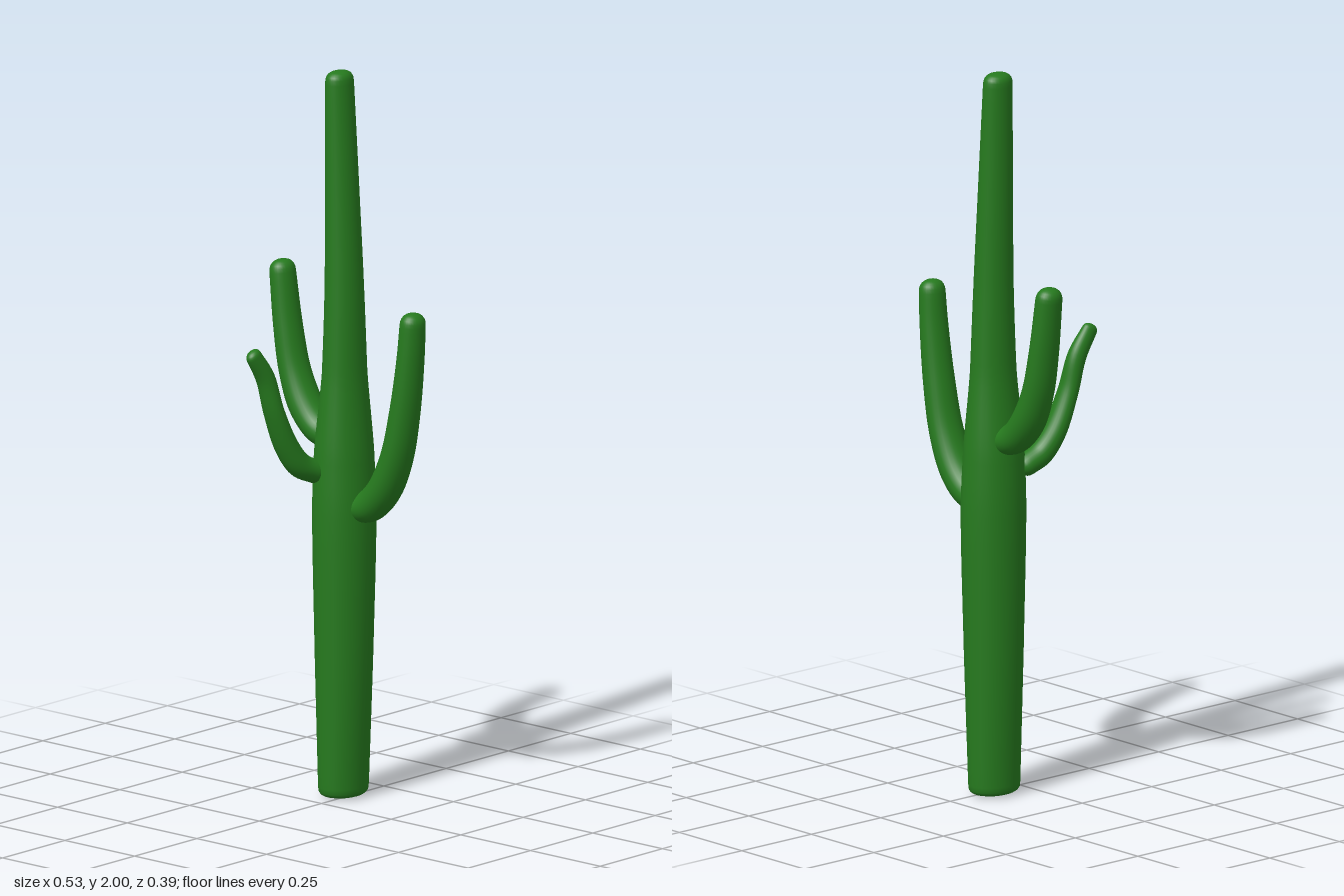
import * as THREE from 'three';

const SIDES = 28;
const material = new THREE.MeshStandardMaterial({ color: 0x267a1e });

// Sweeps an oval along a smooth path with rounded ends.
// Each station: [x, y, z, radius in the bending plane, radius along the side axis]
function limb(name, stations, sideAxis, steps, startCap, endCap) {
  const path = new THREE.CatmullRomCurve3(stations.map(s => new THREE.Vector3(s[0], s[1], s[2])));
  const radii = new THREE.CatmullRomCurve3(stations.map(s => new THREE.Vector3(s[3], s[4], 0)));
  const positions = [], index = [];
  let rings = 0;

  const addRing = (t, offset, scale) => {
    const tangent = path.getTangent(t);
    const side = sideAxis.clone().addScaledVector(tangent, -sideAxis.dot(tangent)).normalize();
    const normal = new THREE.Vector3().crossVectors(side, tangent);
    const centre = path.getPoint(t).addScaledVector(tangent, offset);
    const r = radii.getPoint(t);
    for (let i = 0; i < SIDES; i++) {
      const a = (i / SIDES) * Math.PI * 2;
      const p = centre.clone()
        .addScaledVector(normal, Math.cos(a) * r.x * scale)
        .addScaledVector(side, Math.sin(a) * r.y * scale);
      positions.push(p.x, p.y, p.z);
    }
    rings++;
  };
  const CAP = 6;
  const addCap = (t, cap, sign) => {
    for (let k = 1; k <= CAP; k++) {
      const j = sign < 0 ? CAP + 1 - k : k;
      const a = (j / CAP) * Math.PI / 2;
      addRing(t, sign * cap.length * Math.sin(a) ** cap.power,
        Math.max(Math.cos(a), 1e-4) ** cap.power);
    }
  };

  addCap(0, startCap, -1);
  for (let i = 0; i <= steps; i++) addRing(i / steps, 0, 1);
  addCap(1, endCap, 1);

  for (let r = 0; r < rings - 1; r++) {
    for (let i = 0; i < SIDES; i++) {
      const a = r * SIDES + i, b = r * SIDES + (i + 1) % SIDES;
      index.push(a, b, a + SIDES, b, b + SIDES, a + SIDES);
    }
  }
  const geometry = new THREE.BufferGeometry();
  geometry.setAttribute('position', new THREE.Float32BufferAttribute(positions, 3));
  geometry.setIndex(index);
  geometry.computeVertexNormals();
  const mesh = new THREE.Mesh(geometry, material);
  mesh.name = name;
  return mesh;
}

export function createModel() {
  const group = new THREE.Group();
  group.name = 'cactus';
  const xAxis = new THREE.Vector3(1, 0, 0);
  const zAxis = new THREE.Vector3(0, 0, 1);
  const Z = -0.106;

  // Tall trunk, widest below the arms, leaning slightly towards its top
  group.add(limb('trunk', [
    [-0.016, 0.03, Z, 0.060, 0.077],
    [-0.014, 0.40, Z, 0.074, 0.085],
    [-0.013, 0.78, Z, 0.081, 0.093],
    [-0.014, 0.95, Z, 0.075, 0.088],
    [-0.012, 1.17, Z, 0.055, 0.068],
    [-0.013, 1.40, Z, 0.049, 0.058],
    [-0.020, 1.65, Z, 0.043, 0.051],
    [-0.030, 1.965, Z, 0.034, 0.044],
  ], zAxis, 56, { length: 0.03, power: 0.6 }, { length: 0.035, power: 0.7 }));

  // Left arm
  group.add(limb('leftArm', [
    [0.030, 0.805, Z, 0.040, 0.048],
    [0.080, 0.818, Z, 0.045, 0.050],
    [0.130, 0.868, Z, 0.045, 0.052],
    [0.175, 0.965, Z, 0.042, 0.050],
    [0.205, 1.100, Z, 0.039, 0.046],
    [0.225, 1.250, Z, 0.035, 0.041],
    [0.232, 1.340, Z, 0.033, 0.038],
  ], zAxis, 36, { length: 0.03, power: 1 }, { length: 0.035, power: 0.85 }));

  // Right arm, set higher
  group.add(limb('rightArm', [
    [-0.040, 0.985, Z, 0.040, 0.046],
    [-0.100, 1.002, Z, 0.043, 0.050],
    [-0.150, 1.055, Z, 0.044, 0.051],
    [-0.190, 1.145, Z, 0.040, 0.047],
    [-0.215, 1.265, Z, 0.036, 0.044],
    [-0.234, 1.410, Z, 0.033, 0.039],
  ], zAxis, 36, { length: 0.03, power: 1 }, { length: 0.035, power: 0.85 }));

  // Thin, wavy arm at the front
  group.add(limb('frontArm', [
    [-0.052, 0.905, -0.025, 0.032, 0.037],
    [-0.062, 0.930, 0.020, 0.034, 0.036],
    [-0.073, 0.985, 0.058, 0.031, 0.036],
    [-0.080, 1.090, 0.102, 0.026, 0.031],
    [-0.088, 1.185, 0.127, 0.027, 0.025],
    [-0.094, 1.250, 0.166, 0.024, 0.018],
  ], xAxis, 36, { length: 0.03, power: 1 }, { length: 0.018, power: 0.9 }));

  return group;
}
